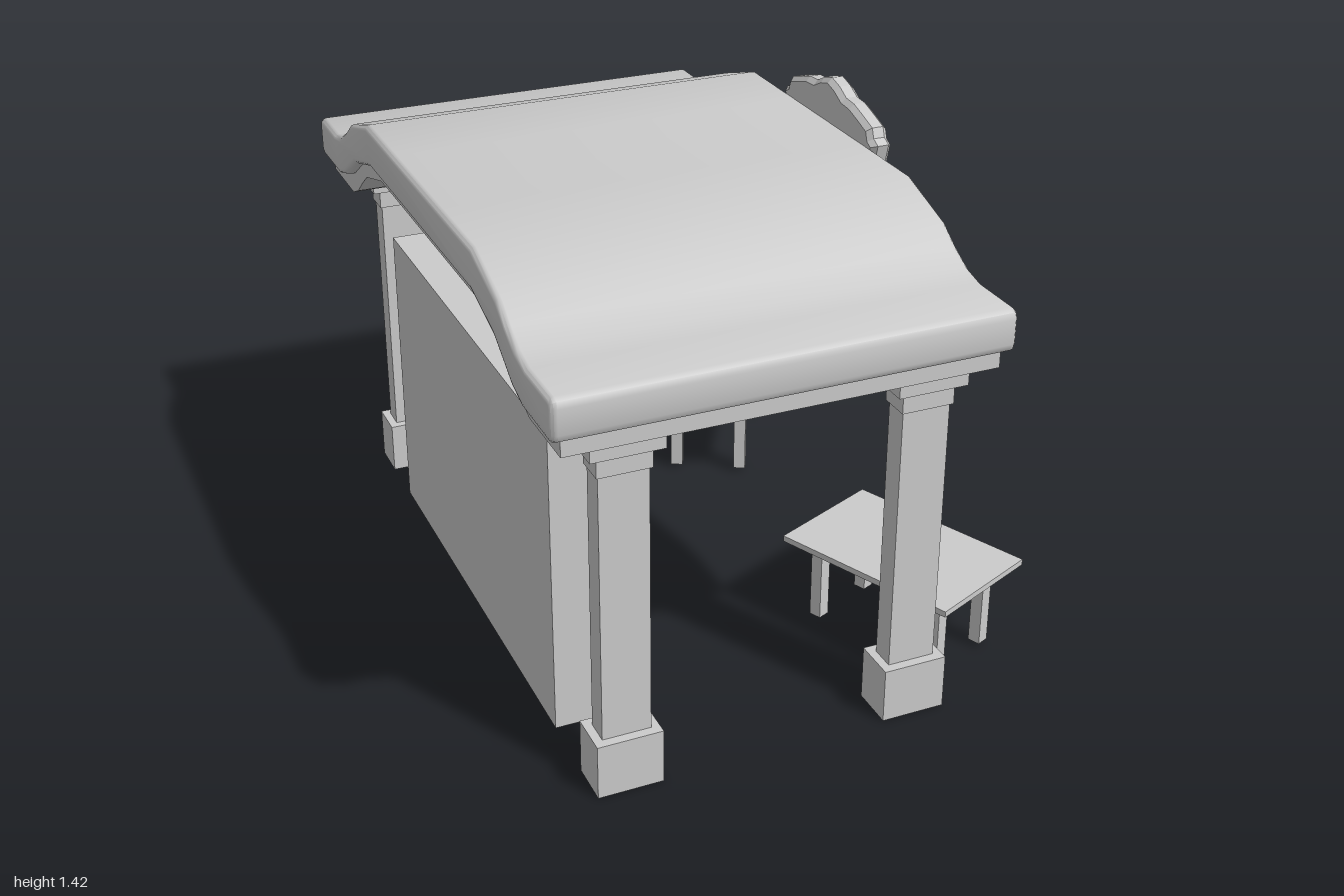
import * as THREE from 'three';
import { toCreasedNormals } from 'three/addons/utils/BufferGeometryUtils.js';

const grey = new THREE.MeshStandardMaterial({ color: 0xcccccc });

function add(parent, name, geometry) {
  const mesh = new THREE.Mesh(geometry, grey);
  mesh.name = name;
  parent.add(mesh);
  return mesh;
}

// Box given by its centre in x and z and its range in y
function block(parent, name, x, z, y0, y1, w, d) {
  const mesh = add(parent, name, new THREE.BoxGeometry(w, y1 - y0, d));
  mesh.position.set(x, (y0 + y1) / 2, z);
  return mesh;
}

// Closed outline symmetric about z = 0, from half profiles running outwards
function symmetricShape(upper, lower) {
  const half = [...upper, ...[...lower].reverse()];
  const other = half.map(([z, y]) => [-z, y]).reverse();
  const points = [...half, ...other].filter(
    (p, i, all) => i === 0 || Math.hypot(p[0] - all[i - 1][0], p[1] - all[i - 1][1]) > 1e-4);
  return new THREE.Shape(points.map(([z, y]) => new THREE.Vector2(z, y)));
}

// Extrudes a z-y outline along x between x0 and x1, bevel kept inside the outline
function extrudeAlongX(shape, x0, x1, bevel = 0, segments = 1) {
  const geometry = new THREE.ExtrudeGeometry(shape, {
    depth: x1 - x0 - 2 * bevel,
    bevelEnabled: bevel > 0,
    bevelSize: bevel,
    bevelThickness: bevel,
    bevelOffset: -bevel,
    bevelSegments: segments,
  });
  geometry.translate(0, 0, x0 + bevel);
  geometry.rotateY(Math.PI / 2);
  return geometry;
}

function createRoof() {
  const roof = new THREE.Group();
  roof.name = 'roof';
  // Arched slab with softened edges
  const top = [[0.2, 1.3], [0.46, 1.3], [0.64, 1.242], [0.7, 1.2], [0.765, 1.165], [0.83, 1.15],
    [0.98, 1.15], [0.995, 1.142], [1, 1.125]];
  const under = [[0.2, 1.183], [0.445, 1.183], [0.61, 1.135], [0.67, 1.098], [0.73, 1.06],
    [0.8, 1.037], [0.98, 1.035], [0.995, 1.043], [1, 1.06]];
  add(roof, 'roofSlab', toCreasedNormals(
    extrudeAlongX(symmetricShape(top, under), -0.72, 0.47, 0.016, 3), 0.8));
  // Stepped moulding and ceiling below the slab
  const mouldingTop = [[0.2, 1.2], [0.445, 1.2], [0.61, 1.152], [0.73, 1.077], [0.8, 1.055], [0.972, 1.055]];
  const ceiling = [[0.2, 1.14], [0.435, 1.14], [0.595, 1.095], [0.65, 1.058], [0.71, 1.012],
    [0.765, 0.988], [0.972, 0.988]];
  add(roof, 'roofMoulding', toCreasedNormals(
    extrudeAlongX(symmetricShape(mouldingTop, ceiling), -0.69, 0.443), 0.6));
  return roof;
}

function createColumn(x, z) {
  const column = new THREE.Group();
  column.name = 'column';
  block(column, 'columnBase', x, z, 0, 0.152, 0.176, 0.12);
  block(column, 'columnShaft', x, z, 0.152, 0.89, 0.13, 0.068);
  block(column, 'columnNeck', x, z, 0.89, 0.947, 0.142, 0.084);
  block(column, 'columnCapital', x, z, 0.947, 0.988, 0.19, 0.13);
  return column;
}

// Cabinet with three recessed shelves facing the signed side
function createCabinet() {
  const cabinet = new THREE.Group();
  cabinet.name = 'cabinet';
  const rect = (path, z, y0, y1) => path.moveTo(-z, y0).lineTo(z, y0).lineTo(z, y1).lineTo(-z, y1).closePath();
  const front = rect(new THREE.Shape(), 0.655, 0.01, 0.872);
  for (const [y0, y1] of [[0.315, 0.42], [0.465, 0.622], [0.667, 0.823]]) {
    front.holes.push(rect(new THREE.Path(), 0.607, y0, y1));
  }
  add(cabinet, 'shelfFront', extrudeAlongX(front, -0.57, -0.38));
  block(cabinet, 'cabinetBack', -0.59, 0, 0.01, 0.872, 0.04, 1.31);
  return cabinet;
}

// Blank scalloped plaque
function createSign() {
  const upper = [[0, 1.42], [0.045, 1.408], [0.085, 1.388], [0.13, 1.385], [0.18, 1.37], [0.235, 1.352],
    [0.245, 1.325], [0.27, 1.312], [0.25, 1.24], [0.245, 1.18]];
  const lower = [[0, 1.062], [0.05, 1.07], [0.1, 1.1], [0.16, 1.11], [0.21, 1.108], [0.25, 1.097], [0.262, 1.12]];
  return extrudeAlongX(symmetricShape(upper, lower), 0.462, 0.522, 0.014);
}

function createTable(x, z, turn) {
  const table = new THREE.Group();
  table.name = 'table';
  block(table, 'tableTop', 0, 0, 0.25, 0.267, 0.35, 0.55);
  for (const sx of [-1, 1]) {
    for (const sz of [-1, 1]) block(table, 'tableLeg', sx * 0.1, sz * 0.2, 0.012, 0.25, 0.036, 0.036);
  }
  table.position.set(x, 0, z);
  table.rotation.y = turn;
  return table;
}

export function createModel() {
  const model = new THREE.Group();
  model.name = 'marketStall';
  model.add(createRoof(), createCabinet());
  for (const x of [-0.52, 0.275]) {
    for (const z of [-0.89, 0.89]) model.add(createColumn(x, z));
  }
  add(model, 'signPlaque', createSign());
  model.add(createTable(0.421, -0.623, -0.53), createTable(0.426, 0.595, 0.41));
  return model;
}
